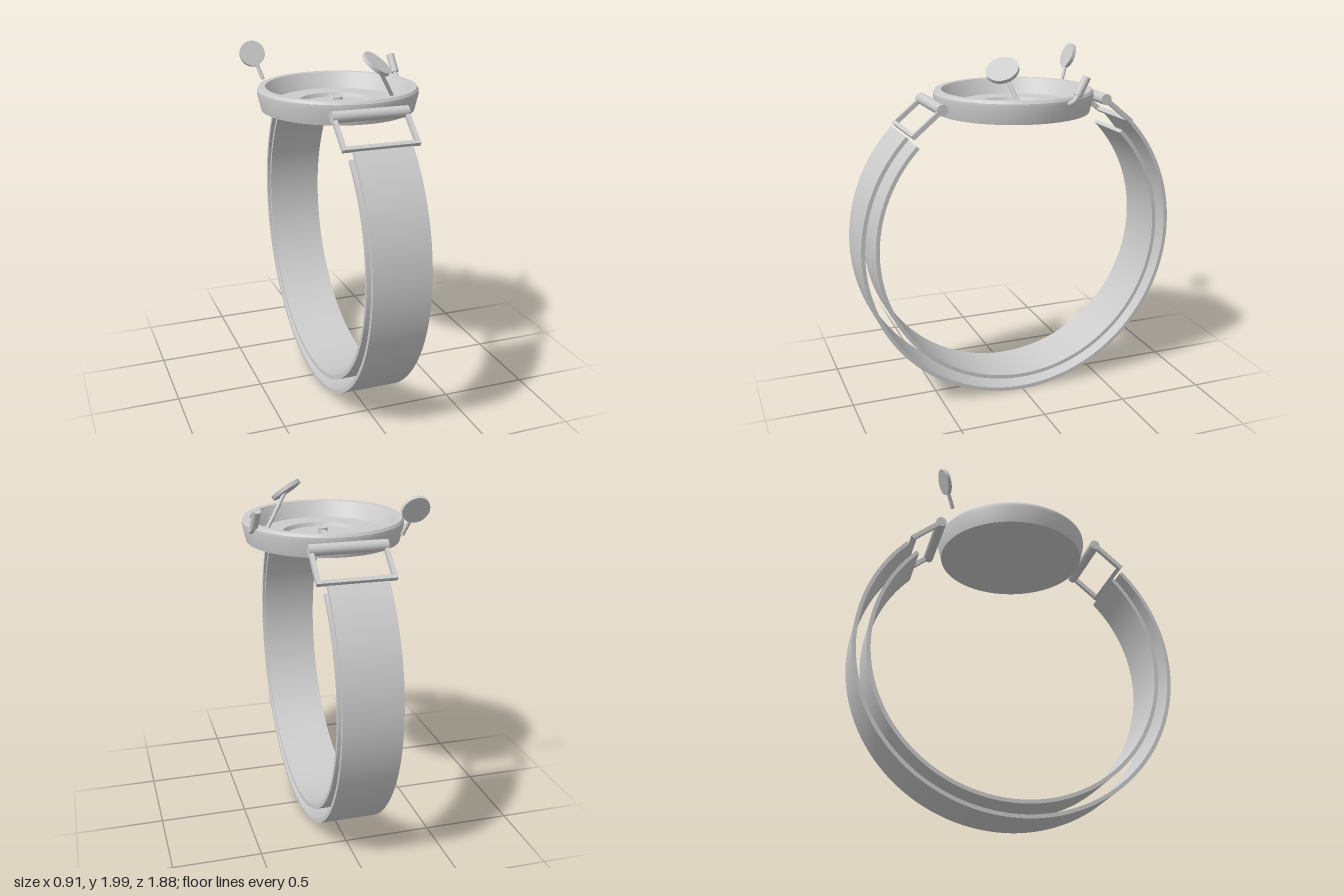
import * as THREE from 'three';
import { toCreasedNormals } from 'three/addons/utils/BufferGeometryUtils.js';

export function createModel() {
  const model = new THREE.Group();
  model.name = 'compassWatch';
  const grey = new THREE.MeshStandardMaterial({ color: 0xcccccc });
  grey.name = 'lightGrey';
  const V = (x, y, z) => new THREE.Vector3(x, y, z);

  const add = (name, geometry, parent = model) => {
    const mesh = new THREE.Mesh(geometry, grey);
    mesh.name = name;
    parent.add(mesh);
    return mesh;
  };
  // Cylinder running from point a to point b
  const rod = (name, a, b, r, parent = model, sides = 20) => {
    const dir = b.clone().sub(a);
    const mesh = add(name, new THREE.CylinderGeometry(r, r, dir.length(), sides), parent);
    mesh.position.copy(a).add(b).multiplyScalar(0.5);
    mesh.quaternion.setFromUnitVectors(V(0, 1, 0), dir.normalize());
    return mesh;
  };

  // Strap: two concentric open bands
  const band = (name, outer, inner, halfWidth) => {
    const a0 = Math.PI * 0.752, a1 = Math.PI * 2.248;
    const shape = new THREE.Shape();
    shape.absarc(0, 0, outer, a0, a1, false);
    shape.absarc(0, 0, inner, a1, a0, true);
    const geo = new THREE.ExtrudeGeometry(shape, { depth: halfWidth * 2, bevelEnabled: false, curveSegments: 96 });
    geo.translate(0, 0, -halfWidth);
    geo.rotateY(Math.PI / 2);
    add(name, toCreasedNormals(geo, 0.5)).position.y = 0.942;
  };
  band('outerStrap', 0.94, 0.918, 0.163);
  band('innerStrap', 0.86, 0.838, 0.163);

  // Case: bowl with a sloped inner wall and a recessed dial
  const profile = [
    [0, 1.673], [0.43, 1.673], [0.452, 1.765], [0.45, 1.785], [0.44, 1.8], [0.405, 1.8],
    [0.355, 1.712], [0.225, 1.712], [0.215, 1.69], [0, 1.69],
  ].map(([r, y]) => new THREE.Vector2(r, y));
  add('case', toCreasedNormals(new THREE.LatheGeometry(profile, 96), 0.4));

  // Compass needle: faceted diamond on a small hub
  const needle = add('needle', toCreasedNormals(new THREE.OctahedronGeometry(1), 0.1));
  needle.scale.set(0.024, 0.008, 0.168);
  needle.position.y = 1.718;
  rod('needleHub', V(0, 1.69, 0), V(0, 1.735, 0), 0.027);

  // Hinge bars and buckle frames, front and back
  for (const [side, turn] of [['front', 0], ['back', Math.PI]]) {
    const mount = new THREE.Group();
    mount.name = side + 'Buckle';
    mount.rotation.y = turn;
    model.add(mount);
    rod('hingeBar', V(-0.213, 1.738, 0.48), V(0.213, 1.738, 0.48), 0.031, mount);
    const frame = new THREE.Group();
    frame.name = 'buckleFrame';
    frame.position.set(0, 1.738, 0.48);
    frame.rotation.x = 0.69;
    mount.add(frame);
    for (const s of [-1, 1]) {
      add('frameSide', new THREE.BoxGeometry(0.024, 0.026, 0.215), frame).position.set(s * 0.202, 0, 0.1075);
    }
    add('frameEnd', new THREE.BoxGeometry(0.428, 0.026, 0.022), frame).position.set(0, 0, 0.204);
  }

  // Round plates on thin stems
  const plate = (name, center, normal, r, foot) => {
    const n = normal.normalize().multiplyScalar(0.011);
    rod(name, center.clone().sub(n), center.clone().add(n), r, model, 40);
    rod(name + 'Stem', center, foot, 0.011);
  };
  plate('backDisc', V(-0.356, 1.918, -0.495), V(0, 0.37, 0.93), 0.075, V(-0.31, 1.775, -0.435));
  plate('dialDisc', V(0.178, 1.928, 0.13), V(0.47, 0.79, 0.39), 0.09, V(0.315, 1.712, 0.06));

  // Side post: bent stem carrying a thicker grip
  const bend = new THREE.CatmullRomCurve3([
    V(0.44, 1.772, -0.15), V(0.438, 1.78, -0.17), V(0.435, 1.8, -0.19), V(0.43, 1.83, -0.21),
  ]);
  add('sidePostStem', new THREE.TubeGeometry(bend, 16, 0.013, 12));
  rod('sidePostGrip', V(0.433, 1.81, -0.197), V(0.425, 1.905, -0.252), 0.023);
  const cap = add('stemCap', new THREE.SphereGeometry(0.013, 12, 8));
  cap.position.set(0.44, 1.772, -0.15);

  return model;
}
